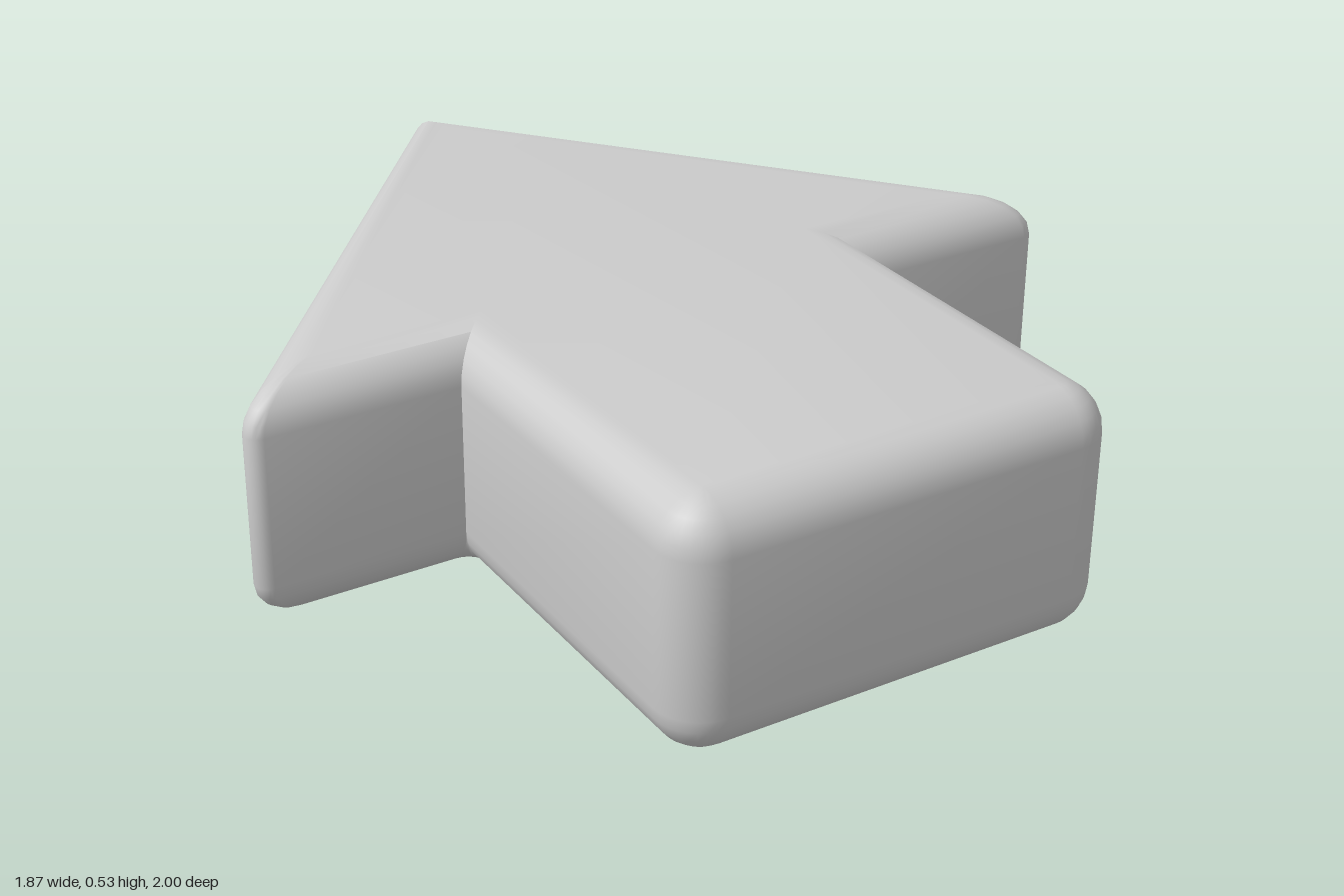
import * as THREE from 'three';
import { toCreasedNormals } from 'three/addons/utils/BufferGeometryUtils.js';

const HEIGHT = 0.53, R = 0.1, STEPS = 6;

// Sharp-cornered plan outline (x, z). "round" gives the corner radius for an edge
// offset d (R on the walls, 0 on the flat faces) and for the lower half.
const tip = { x: 0, z: -1, segs: 0, round: () => 0 };
const half = [
  { x: 0.971, z: 0.18, segs: 8, round: d => 0.3 * d },                              // wing
  { x: 0.49, z: 0.18, segs: 6, round: (d, low) => (low ? 0.1 * (1 - d / R) : 0) },  // notch
  { x: 0.49, z: 1, segs: 8, round: d => d },                                        // shaft corner
];
const outline = [tip, ...half, ...half.map(c => ({ ...c, x: -c.x })).reverse()];

// Outline moved inwards by R - d, with its corners rounded
function ring(d, low) {
  const v = outline.map(c => new THREE.Vector2(c.x, c.z));
  const n = v.length;
  const dir = v.map((p, i) => v[(i + 1) % n].clone().sub(p).normalize());
  const points = [];
  outline.forEach((c, i) => {
    const t1 = dir[(i + n - 1) % n], t2 = dir[i];
    const n1 = new THREE.Vector2(-t1.y, t1.x), n2 = new THREE.Vector2(-t2.y, t2.x);
    const p = v[i].clone().addScaledVector(n1.clone().add(n2), (R - d) / (1 + n1.dot(n2)));
    const r = c.round(d, low);
    const h = (Math.PI - Math.acos(t1.dot(t2))) / 2;
    const centre = t2.clone().sub(t1).normalize().multiplyScalar(r / Math.sin(h)).add(p);
    const from = p.clone().addScaledVector(t1, -r / Math.tan(h)).sub(centre);
    const to = p.clone().addScaledVector(t2, r / Math.tan(h)).sub(centre);
    const sweep = Math.atan2(from.cross(to), from.dot(to));
    for (let k = 0; k <= c.segs; k++) {
      const a = r > 1e-6 ? (sweep * k) / c.segs : 0;
      points.push(r > 1e-6
        ? from.clone().rotateAround(new THREE.Vector2(), a).add(centre)
        : p.clone());
    }
  });
  return points;
}

function arrowGeometry() {
  // Rounded lower edge, straight wall, rounded upper edge
  const rings = [];
  for (const low of [true, false]) {
    for (let i = 0; i <= STEPS; i++) {
      const a = (i / STEPS) * Math.PI / 2;
      const d = i === (low ? 0 : STEPS) ? 0 : R * (low ? Math.sin(a) : Math.cos(a));
      const y = low ? R - R * Math.cos(a) : HEIGHT - R + R * Math.sin(a);
      rings.push(ring(d, low).map(p => new THREE.Vector3(p.x, y, p.y)));
    }
  }

  const pos = [];
  const tri = (a, b, c) => {
    const area = b.clone().sub(a).cross(c.clone().sub(a)).length();
    if (area > 1e-9) for (const p of [a, b, c]) pos.push(p.x, p.y, p.z);
  };

  // Walls and rounded edges
  for (let j = 0; j < rings.length - 1; j++) {
    const lo = rings[j], up = rings[j + 1];
    for (let i = 0; i < lo.length; i++) {
      const k = (i + 1) % lo.length;
      tri(lo[i], up[i], lo[k]);
      tri(lo[k], up[i], up[k]);
    }
  }

  // Flat bottom and top
  for (const [loop, sign] of [[rings[0], -1], [rings[rings.length - 1], 1]]) {
    const pts = loop.filter((p, i) => p.distanceTo(loop[(i + 1) % loop.length]) > 1e-6);
    const flat = pts.map(p => new THREE.Vector2(p.x, p.z));
    for (const [a, b, c] of THREE.ShapeUtils.triangulateShape(flat, [])) {
      const turn = flat[b].clone().sub(flat[a]).cross(flat[c].clone().sub(flat[a]));
      if (turn * sign < 0) tri(pts[a], pts[b], pts[c]);
      else tri(pts[a], pts[c], pts[b]);
    }
  }

  const geometry = new THREE.BufferGeometry();
  geometry.setAttribute('position', new THREE.Float32BufferAttribute(pos, 3));
  return toCreasedNormals(geometry, 0.6);
}

export function createModel() {
  const group = new THREE.Group();
  group.name = 'arrow';
  const body = new THREE.Mesh(arrowGeometry(), new THREE.MeshStandardMaterial({ color: 0xcccccc }));
  body.name = 'arrowBody';
  group.add(body);
  return group;
}
